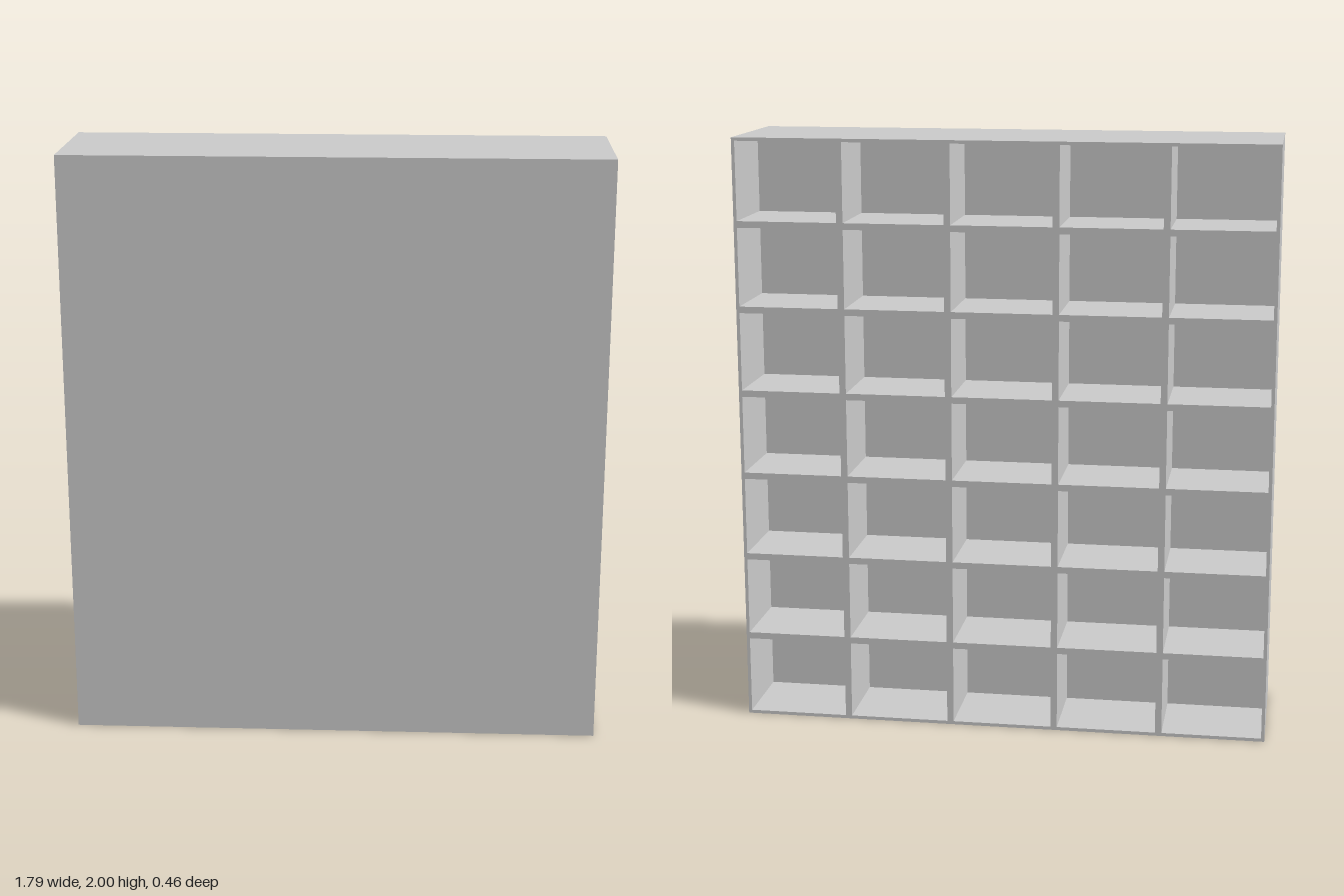
import * as THREE from 'three';

const WIDTH = 1.79, HEIGHT = 2, DEPTH = 0.46;
const COLS = 5, ROWS = 7;
const CELL_DEPTH = 0.28; // how far the pigeonholes reach in from the open back
const WALL = 0.011;      // outer wall, and half of each divider

function rectangle(target, x0, y0, x1, y1) {
  target.moveTo(x0, y0);
  target.lineTo(x1, y0);
  target.lineTo(x1, y1);
  target.lineTo(x0, y1);
  target.closePath();
  return target;
}

export function createModel() {
  const group = new THREE.Group();
  group.name = 'pigeonholeCabinet';
  const material = new THREE.MeshStandardMaterial({ color: 0xcccccc });

  // Grid of square-cornered compartments, open towards the back
  const outline = rectangle(new THREE.Shape(), -WIDTH / 2, 0, WIDTH / 2, HEIGHT);
  const cellW = WIDTH / COLS, cellH = HEIGHT / ROWS;
  for (let c = 0; c < COLS; c++) {
    for (let r = 0; r < ROWS; r++) {
      const x = -WIDTH / 2 + c * cellW, y = r * cellH;
      outline.holes.push(rectangle(new THREE.Path(),
        x + WALL, y + WALL, x + cellW - WALL, y + cellH - WALL));
    }
  }
  const grid = new THREE.Mesh(
    new THREE.ExtrudeGeometry(outline, { depth: CELL_DEPTH, bevelEnabled: false }), material);
  grid.name = 'compartmentGrid';
  grid.position.z = -DEPTH / 2;
  group.add(grid);

  // Thick solid panel closing the front
  const panelDepth = DEPTH - CELL_DEPTH;
  const panel = new THREE.Mesh(new THREE.BoxGeometry(WIDTH, HEIGHT, panelDepth), material);
  panel.name = 'frontPanel';
  panel.position.set(0, HEIGHT / 2, DEPTH / 2 - panelDepth / 2);
  group.add(panel);

  return group;
}
